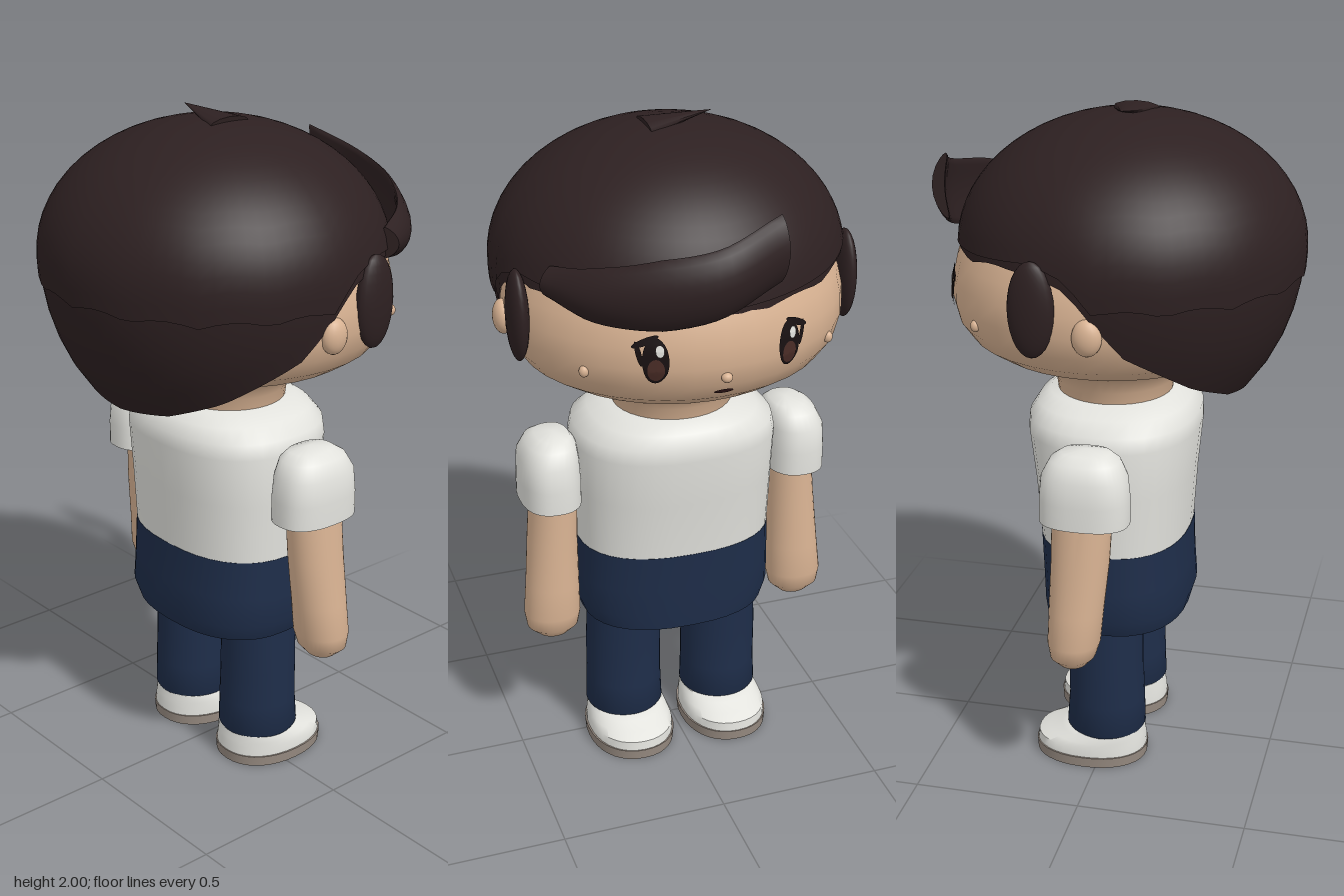
import * as THREE from 'three';
import { toCreasedNormals } from 'three/addons/utils/BufferGeometryUtils.js';

const mat = (name, color, side = THREE.FrontSide) => {
  const m = new THREE.MeshStandardMaterial({ color, side });
  m.name = name;
  return m;
};
const lerpTable = (table, k) => {
  for (let i = 1; i < table.length; i++) {
    const [k0, v0] = table[i - 1], [k1, v1] = table[i];
    if (k <= k1) return v0 + (v1 - v0) * Math.max(0, (k - k0) / (k1 - k0));
  }
  return table[table.length - 1][1];
};

// Surface closed around u, running along v; point(angle, v) gives [x, y, z]
function closedGrid(nu, nv, point, crease = 0.8) {
  const pos = [], idx = [];
  for (let i = 0; i <= nv; i++)
    for (let j = 0; j < nu; j++) pos.push(...point((j / nu) * Math.PI * 2, i / nv, i));
  for (let i = 0; i < nv; i++)
    for (let j = 0; j < nu; j++) {
      const a = i * nu + j, b = i * nu + ((j + 1) % nu), c = a + nu, d = b + nu;
      idx.push(a, c, b, b, c, d);
    }
  const g = new THREE.BufferGeometry();
  g.setAttribute('position', new THREE.Float32BufferAttribute(pos, 3));
  g.setIndex(idx);
  return toCreasedNormals(g, crease);
}

// Stack of rounded rings, bottom to top: [y, halfX, halfZ, centreX, centreZ]
function loft(rings, power = 2, crease = 0.8) {
  const e = 2 / power;
  const p = (c) => Math.sign(c) * Math.abs(c) ** e;
  return closedGrid(36, rings.length - 1, (t, v, i) => {
    const [y, a, b, cx = 0, cz = 0] = rings[i];
    return [cx + a * p(Math.cos(t)), y, cz + b * p(Math.sin(t))];
  }, crease);
}

// Head radius by height; the head is slightly wider than deep
const HEAD = [[1.12, 0.165], [1.19, 0.175], [1.24, 0.205], [1.265, 0.27], [1.3, 0.36], [1.34, 0.42],
  [1.39, 0.455], [1.45, 0.47], [1.51, 0.468], [1.57, 0.455], [1.65, 0.42], [1.75, 0.35], [1.85, 0.22], [1.9, 0]];
const HEAD_W = 1.05;
const faceZ = (x, y) => -Math.sqrt(Math.max(0, lerpTable(HEAD, y) ** 2 - (x / HEAD_W) ** 2));

// Thin oval lying on the face
function facePatch(x, y, rx, ry, lift, tilt = 0) {
  const g = new THREE.RingGeometry(0, 1, 24, 4);
  g.scale(rx, ry, 1).rotateZ(tilt);
  const p = g.attributes.position;
  for (let i = 0; i < p.count; i++) {
    const px = x - p.getX(i), py = y + p.getY(i);
    p.setXYZ(i, px, py, faceZ(px, py) - lift);
  }
  g.computeVertexNormals();
  return g;
}

// Hem height by angle from the back of the head, in degrees
const HEM = [[0, 1.195], [30, 1.22], [53, 1.28], [80, 1.4], [90, 1.5], [98, 1.585], [110, 1.62], [135, 1.6], [180, 1.575]];
function hairShell(size, hem) {
  return closedGrid(72, 16, (t, v) => {
    const deg = THREE.MathUtils.radToDeg(Math.acos(Math.sin(t)));
    const h = hem(deg, t);
    const y = h + (1.978 - h) * Math.sin((v * Math.PI) / 2);
    const k = (y - 1.6) / (y > 1.6 ? 0.378 : 0.568);
    const r = Math.sqrt(Math.max(0, 1 - k * k)) * size;
    return [0.505 * r * Math.cos(t), y, 0.05 + 0.495 * r * Math.sin(t)];
  }, 1);
}

export function createModel() {
  const model = new THREE.Group();
  const hair = mat('dark hair', 0x2d2021, THREE.DoubleSide);
  const skin = mat('skin', 0xd9b393);
  const white = mat('white cloth', 0xe2e2dd);
  const navy = mat('navy cloth', 0x1e2d49);
  const sole = mat('sole', 0x968a80);
  const black = mat('eye dark', 0x181011);
  const iris = mat('iris brown', 0x4a2c26);
  const lip = mat('mouth', 0x35191a);
  const add = (name, geo, material) => {
    const m = new THREE.Mesh(geo, material);
    m.name = name;
    model.add(m);
    return m;
  };
  const ball = (name, material, pos, rad) => {
    const m = add(name, new THREE.SphereGeometry(1, 20, 14), material);
    m.position.set(...pos);
    m.scale.set(...rad);
  };

  // Head and neck
  add('head', loft(HEAD.map(([y, r]) => [y, r * HEAD_W, r]), 2, 1.2), skin);
  ball('nose', skin, [0, 1.42, -0.468], [0.016, 0.014, 0.014]);
  add('mouth', facePatch(0, 1.37, 0.028, 0.008, 0.004), lip);

  // Hair: long lower layer, scalloped upper layer
  const wave = (t, n) => Math.abs(Math.sin(t * n));
  add('hairLower', hairShell(1, (deg, t) => lerpTable(HEM, deg) + (deg > 105 ? 0.015 * wave(t, 7) : 0)), hair);
  add('hairUpper', hairShell(1.014, (deg, t) => Math.max(lerpTable(HEM, deg) + 0.03, 1.525 + 0.018 * wave(t, 8))), hair);

  // Swept forelock: a thin band curving across the brow
  const path = new THREE.CatmullRomCurve3([[0.435, 1.655, -0.235], [0.36, 1.655, -0.36], [0.22, 1.67, -0.465],
    [0.03, 1.705, -0.525], [-0.155, 1.765, -0.48]].map((p) => new THREE.Vector3(...p)));
  const up = new THREE.Vector3(0, 1, 0);
  const N = 24;
  add('forelock', closedGrid(20, N, (t, v, i) => {
    const k = Math.min(1, Math.max(0, (i - 1) / (N - 2)));
    const out = path.getTangent(k).cross(up).normalize();
    const c = path.getPoint(k);
    const end = i === 0 || i === N ? 0 : 1;
    const h = end * lerpTable([[0, 0.045], [0.3, 0.08], [0.55, 0.1], [1, 0.095]], k);
    const s = Math.sin(t);
    const d = end * 0.018 * Math.cos(t) - 0.025 * s * s * end;
    // crescent section, hollow toward the brow
    const sign = out.z < 0 ? 1 : -1;
    return [c.x + out.x * d * sign, c.y + h * s, c.z + out.z * d * sign];
  }), hair);

  // Crown tuft
  const tuft = new THREE.ConeGeometry(0.07, 0.2, 12);
  tuft.scale(0.3, 1, 1).rotateZ(Math.PI / 2 - 0.14);
  tuft.translate(-0.035, 1.982, 0.045);
  add('crownTuft', tuft, hair);

  // Trunk
  add('shirt', loft([[0.72, 0, 0, 0, 0.01], [0.72, 0.298, 0.222, 0, 0.01], [0.9, 0.304, 0.235, 0, 0.008],
    [1.05, 0.308, 0.252, 0, 0.005], [1.095, 0.298, 0.25, 0, 0.005], [1.13, 0.25, 0.225, 0, 0.002],
    [1.155, 0.195, 0.19], [1.155, 0, 0]], 2.4), white);
  add('hips', loft([[0.46, 0, 0, 0, 0.015], [0.46, 0.285, 0.215, 0, 0.015], [0.51, 0.305, 0.224, 0, 0.02],
    [0.6, 0.303, 0.222, 0, 0.015], [0.72, 0.299, 0.223, 0, 0.01], [0.72, 0, 0, 0, 0.01]], 2.4), navy);

  for (const s of [1, -1]) {
    const side = s > 0 ? 'left' : 'right';
    // Side of the head
    ball(side + 'Ear', skin, [s * 0.49, 1.46, 0.035], [0.03, 0.052, 0.042]);
    ball(side + 'Sideburn', hair, [s * 0.485, 1.525, -0.12], [0.031, 0.135, 0.066]);
    ball(side + 'CheekBump', skin, [s * 0.355, 1.425, -0.318], [0.014, 0.017, 0.014]);

    // Eye
    const ex = s * 0.19;
    add(side + 'Eye', facePatch(ex, 1.48, 0.034, 0.066, 0.004), black);
    add(side + 'Iris', facePatch(ex, 1.455, 0.022, 0.032, 0.006), iris);
    add(side + 'EyeShine', facePatch(ex - 0.01, 1.51, 0.011, 0.017, 0.0075), white);
    add(side + 'Lash', facePatch(ex + s * 0.025, 1.535, 0.038, 0.009, 0.006, s * 0.45), black);
    add(side + 'LowerLash', facePatch(ex + s * 0.042, 1.5, 0.007, 0.035, 0.005, s * 0.2), black);

    // Sleeve and arm
    const sx = s * 0.385;
    add(side + 'Sleeve', loft([[0.88, 0, 0, sx], [0.88, 0.09, 0.13, sx], [0.95, 0.09, 0.13, sx], [1.02, 0.086, 0.123, sx],
      [1.065, 0.072, 0.1, sx - s * 0.008], [1.085, 0.05, 0.07, sx - s * 0.015], [1.092, 0, 0, sx - s * 0.02]], 2.5), white);
    add(side + 'Arm', loft([[0.41, 0, 0, s * 0.395, -0.035], [0.425, 0.045, 0.04, s * 0.395, -0.035],
      [0.455, 0.078, 0.066, s * 0.396, -0.035], [0.5, 0.086, 0.077, s * 0.395, -0.032], [0.6, 0.081, 0.08, s * 0.39, -0.026],
      [0.75, 0.075, 0.085, s * 0.383, -0.015], [0.9, 0.07, 0.088, s * 0.375, -0.01], [0.9, 0, 0, s * 0.375, -0.01]], 2.1), skin);

    // Trouser leg
    const lx = s * 0.158;
    add(side + 'Leg', loft([[0.095, 0, 0, lx, 0.008], [0.095, 0.115, 0.115, lx, 0.008], [0.105, 0.121, 0.121, lx, 0.008],
      [0.2, 0.118, 0.116, lx, 0.01], [0.32, 0.118, 0.113, lx, 0.008], [0.48, 0.112, 0.115, lx, 0.006],
      [0.48, 0, 0, lx, 0.006]]), navy);

    // Shoe
    const fx = s * 0.156;
    add(side + 'Sole', loft([[0, 0, 0, fx, -0.038], [0, 0.134, 0.172, fx, -0.038], [0.032, 0.136, 0.174, fx, -0.038],
      [0.032, 0, 0, fx, -0.038]], 2.2), sole);
    add(side + 'Shoe', loft([[0.03, 0.131, 0.171, fx, -0.038], [0.06, 0.13, 0.168, fx, -0.037], [0.075, 0.125, 0.15, fx, -0.022],
      [0.09, 0.12, 0.128, fx, -0.003], [0.1, 0.115, 0.118, fx, 0.005], [0.1, 0, 0, fx, 0.005]], 2.2), white);
  }
  return model;
}
